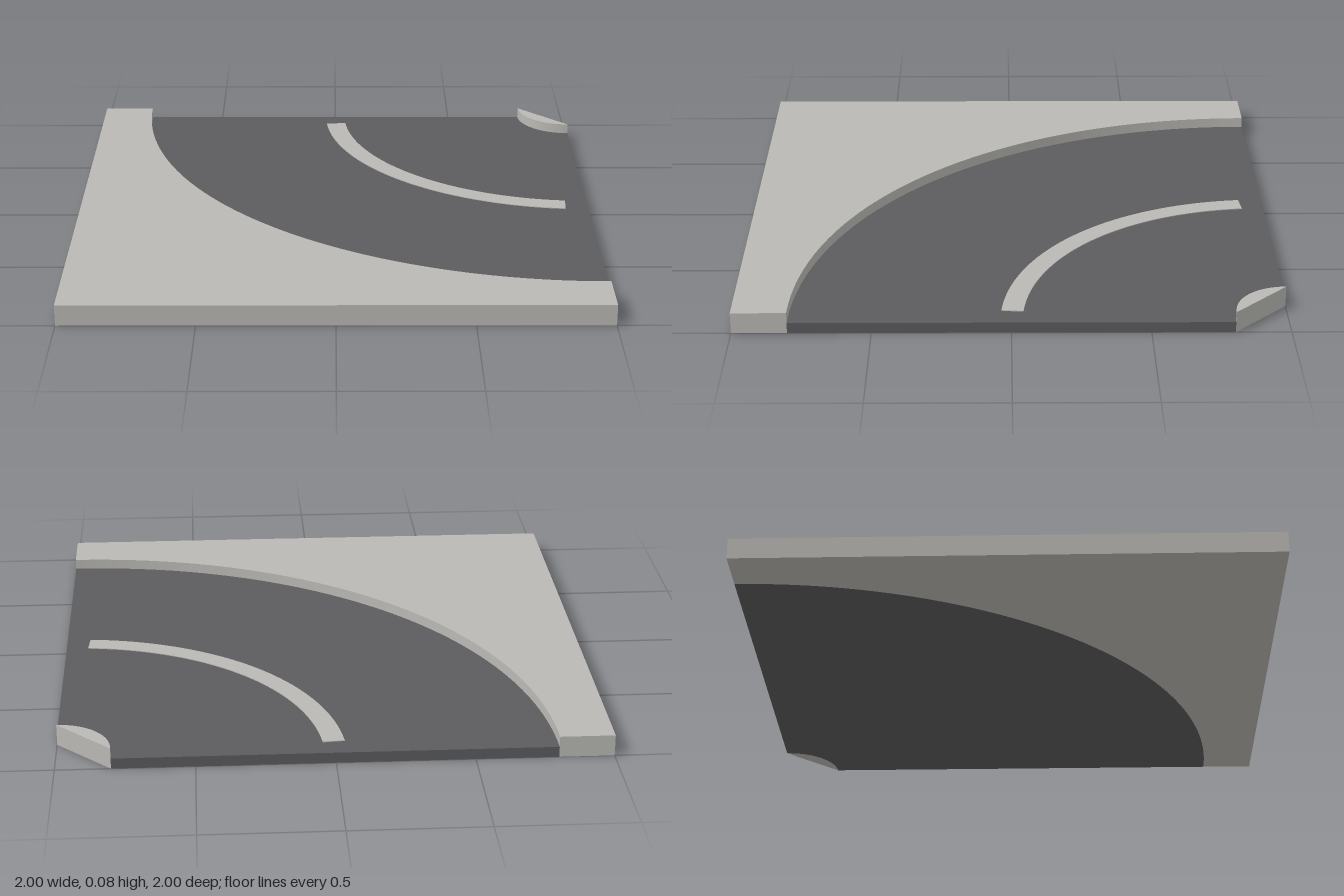
import * as THREE from 'three';

const HALF = 1, OUTER = 1.8, INNER = 0.2;   // tile half size, road radii
const KERB_TOP = 0.08, ROAD_TOP = 0.04;

// Extrude a plan shape (drawn as x, -z) upwards from a base height
function slab(name, shape, base, height, material) {
  const geometry = new THREE.ExtrudeGeometry(shape, { depth: height, bevelEnabled: false, curveSegments: 32 });
  geometry.rotateX(-Math.PI / 2);
  const mesh = new THREE.Mesh(geometry, material);
  mesh.name = name;
  mesh.position.y = base;
  return mesh;
}

// Ring sector around the back left corner of the tile
function sector(inner, outer, trim = 0) {
  const a = Math.PI + trim, b = 1.5 * Math.PI - trim;
  const shape = new THREE.Shape();
  shape.absarc(HALF, HALF, outer, a, b, false);
  shape.absarc(HALF, HALF, inner, b, a, true);
  shape.closePath();
  return shape;
}

export function createModel() {
  const concrete = new THREE.MeshStandardMaterial({ color: 0xbab9b4 });
  concrete.name = 'concrete';
  const asphalt = new THREE.MeshStandardMaterial({ color: 0x5c5c5e });
  asphalt.name = 'asphalt';

  const model = new THREE.Group();
  model.name = 'curvedRoadTile';

  // Large pavement outside the bend
  const outside = new THREE.Shape();
  outside.moveTo(-HALF, HALF);
  outside.lineTo(-HALF, -HALF);
  outside.lineTo(HALF, -HALF);
  outside.lineTo(HALF, HALF - OUTER);
  outside.absarc(HALF, HALF, OUTER, 1.5 * Math.PI, Math.PI, true);
  outside.closePath();
  model.add(slab('outerPavement', outside, 0, KERB_TOP, concrete));

  // Small pavement corner inside the bend
  const corner = new THREE.Shape();
  corner.moveTo(HALF, HALF);
  corner.absarc(HALF, HALF, INNER, Math.PI, 1.5 * Math.PI, false);
  corner.closePath();
  model.add(slab('innerPavement', corner, 0, KERB_TOP, concrete));

  // Road surface and its centre line
  model.add(slab('road', sector(INNER, OUTER), 0, ROAD_TOP, asphalt));
  model.add(slab('centreLine', sector(0.96, 1.04, Math.PI / 36), ROAD_TOP, 0.003, concrete));

  return model;
}
